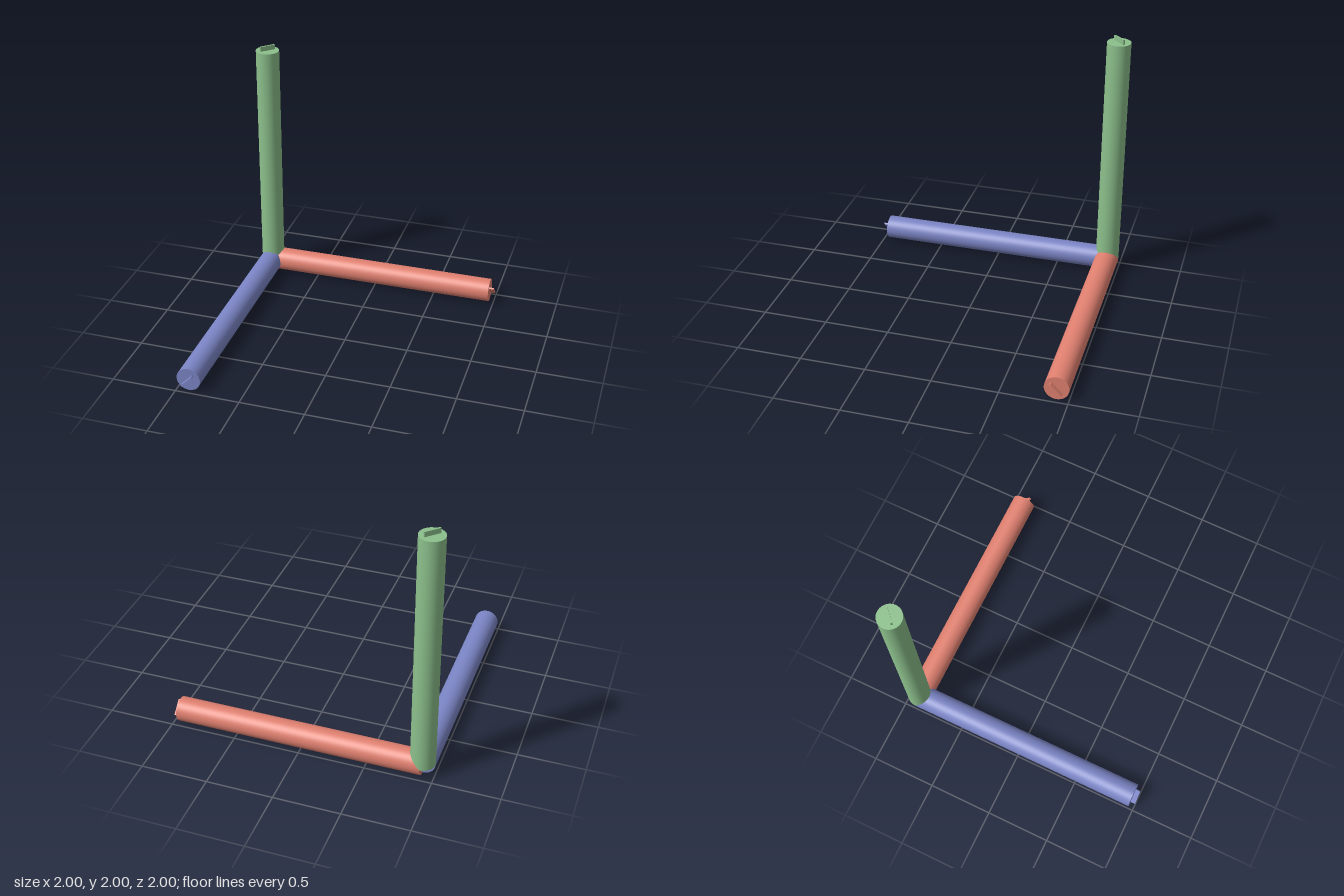
import * as THREE from 'three';

const RADIUS = 0.092;
const ROD_LENGTH = 1.87;
const TIP_HEIGHT = 0.038;
const CORNER = new THREE.Vector3(-0.908, 0.093, -0.908);

// One rod growing along +y from the shared corner, with a plain raised bar on its end face
function createRod(name, color, rotation) {
  const material = new THREE.MeshStandardMaterial({ color });
  const rod = new THREE.Group();
  rod.name = name;

  const shaft = new THREE.Mesh(new THREE.CylinderGeometry(RADIUS, RADIUS, ROD_LENGTH, 48), material);
  shaft.name = name + 'Shaft';
  shaft.position.y = ROD_LENGTH / 2;

  const tip = new THREE.Mesh(new THREE.BoxGeometry(0.122, TIP_HEIGHT, 0.014), material);
  tip.name = name + 'TipBar';
  tip.position.y = ROD_LENGTH + TIP_HEIGHT / 2;
  tip.rotation.y = Math.PI / 4;

  rod.add(shaft, tip);
  rod.rotation.set(...rotation);
  rod.position.copy(CORNER);
  return rod;
}

export function createModel() {
  const model = new THREE.Group();
  model.name = 'threeRodCorner';
  model.add(
    createRod('sideRod', 0xe08070, [0, 0, -Math.PI / 2]),
    createRod('uprightRod', 0x8cc08c, [0, 0, 0]),
    createRod('frontRod', 0x7a84c4, [Math.PI / 2, 0, 0])
  );
  return model;
}
